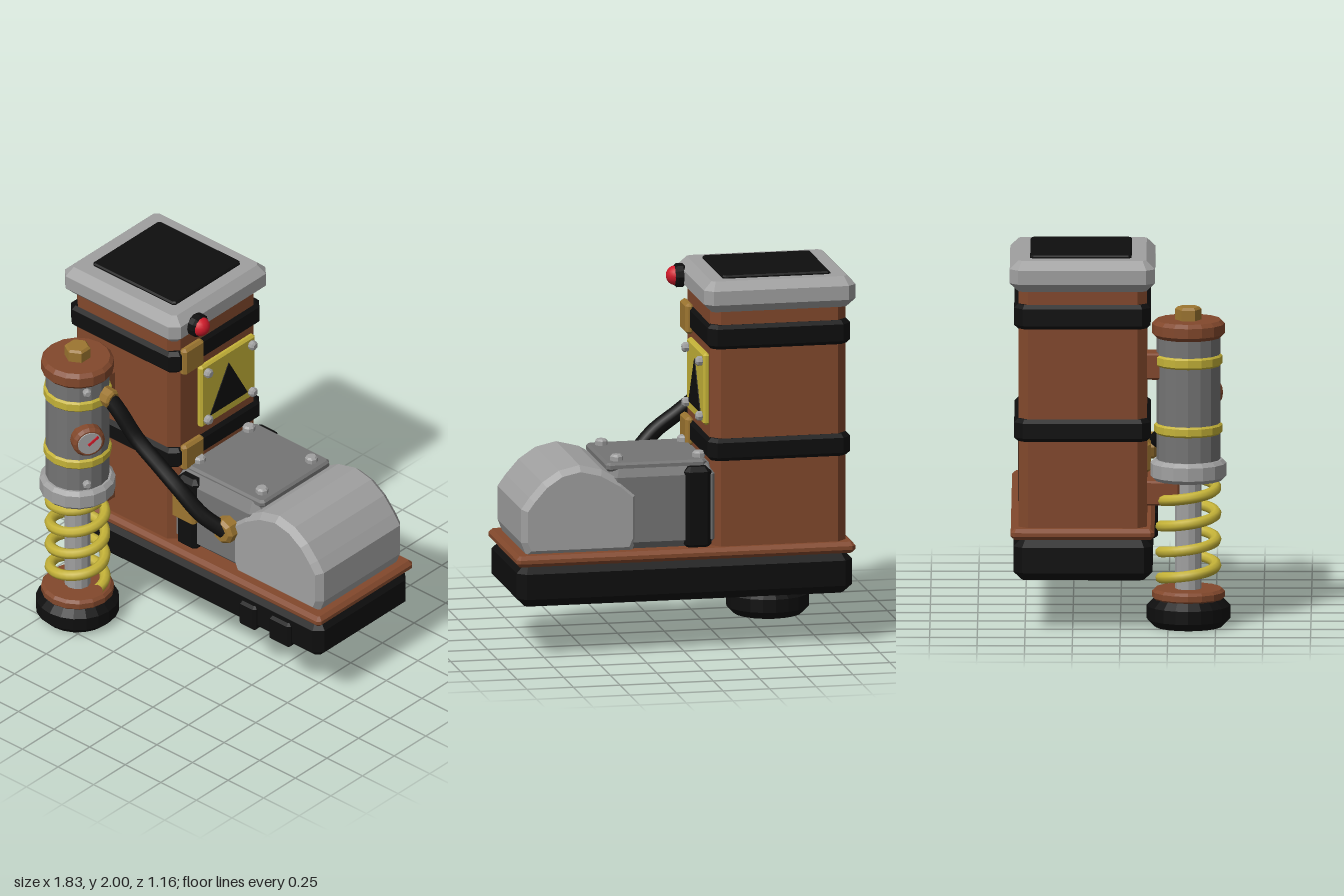
import * as THREE from 'three';

const mat = (name, color) => Object.assign(new THREE.MeshStandardMaterial({ color }), { name });

export function createModel() {
  const root = new THREE.Group();
  root.name = 'poweredBoot';
  const copper = mat('copper', 0x82482c), black = mat('black rubber', 0x0e0e0e);
  const light = mat('light steel', 0xa0a0a0), steel = mat('dark steel', 0x747474);
  const yellow = mat('yellow', 0xc4b238), brass = mat('brass', 0x9c7530), red = mat('red', 0xd01a2a);

  const add = (name, geo, material, parent = root) => {
    const m = new THREE.Mesh(geo, material);
    m.name = name;
    parent.add(m);
    return m;
  };
  // faceted normals
  const flat = (g) => {
    const f = g.index ? g.toNonIndexed() : g;
    f.computeVertexNormals();
    return f;
  };
  // box with cut vertical corners (cut) and chamfered top and bottom rims (bevel)
  const block = (name, material, [x0, x1], [y0, y1], [z0, z1], bevel = 0.02, cut = bevel) => {
    const s = new THREE.Shape([
      [x0 + cut, -z1], [x1 - cut, -z1], [x1, -z1 + cut], [x1, -z0 - cut],
      [x1 - cut, -z0], [x0 + cut, -z0], [x0, -z0 - cut], [x0, -z1 + cut],
    ].map(([x, y]) => new THREE.Vector2(x, y)));
    const g = new THREE.ExtrudeGeometry(s, {
      depth: y1 - y0 - 2 * bevel, bevelEnabled: bevel > 0, bevelSegments: 1,
      bevelSize: bevel, bevelThickness: bevel, bevelOffset: -bevel,
    });
    g.rotateX(-Math.PI / 2).translate(0, y0 + bevel, 0);
    return add(name, flat(g), material);
  };
  // chamfered disc standing on y0
  const disc = (r, y0, y1, c = 0.015, sides = 16) => flat(new THREE.LatheGeometry([
    [0, y0], [r - c, y0], [r, y0 + c], [r, y1 - c], [r - c, y1], [0, y1],
  ].map(([x, y]) => new THREE.Vector2(x, y)), sides));
  // disc whose axis points along dir, with its base at pos
  const stud = (name, material, pos, dir, r, h, c = 0.01, sides = 8, parent = root) => {
    const m = add(name, disc(r, 0, h, c, sides), material, parent);
    m.position.set(...pos);
    m.quaternion.setFromUnitVectors(new THREE.Vector3(0, 1, 0), new THREE.Vector3(...dir).normalize());
    return m;
  };
  const X = [1, 0, 0], Y = [0, 1, 0], Z = [0, 0, 1];

  // sole, side lugs and welt
  block('sole', black, [-0.9, 0.9], [0.28, 0.505], [-0.56, 0.17], 0.045);
  block('soleLug', black, [0.35, 0.47], [0.29, 0.44], [0.1, 0.193], 0.015);
  block('soleLug', black, [0.56, 0.71], [0.29, 0.44], [0.1, 0.193], 0.015);
  block('welt', copper, [-0.91, 0.91], [0.5, 0.56], [-0.575, 0.18], 0.02);

  // shaft with its straps and buckles
  block('shaft', copper, [-0.87, -0.143], [0.55, 1.84], [-0.535, 0.14], 0, 0.05);
  for (const [y0, y1] of [[1.62, 1.75], [1.02, 1.14]]) {
    block('shaftStrap', black, [-0.89, -0.125], [y0, y1], [-0.557, 0.16], 0.02, 0.045);
    block('shaftBuckle', brass, [-0.15, -0.103], [y0 - 0.02, y1 + 0.015], [-0.06, 0.1], 0.015);
  }

  // top collar and dark opening
  block('collar', light, [-0.915, -0.1], [1.82, 1.985], [-0.58, 0.182], 0.045);
  block('opening', black, [-0.795, -0.215], [1.97, 2.0], [-0.473, 0.06], 0.008, 0.015);

  // beacon
  stud('beaconBase', black, [-0.115, 1.905, 0.022], X, 0.065, 0.06, 0.015, 12);
  add('beaconLamp', new THREE.SphereGeometry(0.053, 16, 12), red).position.set(-0.067, 1.905, 0.022);

  // warning plate
  block('warningPlate', yellow, [-0.15, -0.112], [1.2, 1.585], [-0.47, -0.04], 0.012);
  const tri = new THREE.Shape([[0.105, 1.255], [0.4, 1.255], [0.2525, 1.515]].map((p) => new THREE.Vector2(...p)));
  const triGeo = new THREE.ExtrudeGeometry(tri, { depth: 0.006, bevelEnabled: false });
  add('warningTriangle', triGeo.rotateY(Math.PI / 2).translate(-0.113, 0, 0), black);
  for (const y of [1.245, 1.54]) for (const z of [-0.08, -0.43])
    stud('plateBolt', light, [-0.12, y, z], X, 0.026, 0.042);

  // instep housing, lid and bolts
  block('instepHousing', steel, [-0.2, 0.41], [0.55, 1.0], [-0.52, 0.115], 0.05);
  block('instepLid', steel, [-0.13, 0.41], [0.975, 1.02], [-0.48, 0.065], 0.012, 0.02);
  for (const x of [-0.1, 0.34]) for (const z of [-0.4, -0.01])
    stud('lidBolt', light, [x, 1.01, z], Y, 0.034, 0.042);
  block('instepStrap', black, [-0.145, 0], [0.55, 0.99], [-0.54, 0.135], 0.025);
  block('instepBuckle', brass, [-0.153, 0.008], [0.73, 0.89], [0.1, 0.158], 0.015);

  // rounded toe cap
  const cap = new THREE.Shape([
    [0.28, 0.55], [0.845, 0.55], [0.873, 0.62], [0.873, 0.8], [0.83, 0.86], [0.76, 0.94], [0.67, 1.0],
    [0.56, 1.025], [0.44, 0.995], [0.33, 0.93], [0.25, 0.86], [0.25, 0.62],
  ].map((p) => new THREE.Vector2(...p)));
  const capGeo = new THREE.ExtrudeGeometry(cap, {
    depth: 0.6, bevelSegments: 1, bevelSize: 0.03, bevelThickness: 0.035, bevelOffset: -0.03,
  });
  add('toeCap', flat(capGeo.translate(0, 0, -0.5)), light);

  // spring strut
  const strut = new THREE.Group();
  strut.name = 'springStrut';
  strut.position.set(-0.63, 0, 0.357);
  root.add(strut);
  const ring = (name, material, r, y0, y1, c, sides) => add(name, disc(r, y0, y1, c, sides), material, strut);
  ring('strutFoot', black, 0.22, 0, 0.15, 0.04, 20);
  ring('lowerSeat', copper, 0.192, 0.14, 0.2, 0.015);
  ring('strutRod', light, 0.07, 0.19, 0.8, 0.01, 12);
  ring('lowerCollar', light, 0.2, 0.78, 0.89, 0.02);
  ring('strutCylinder', steel, 0.168, 0.87, 1.56, 0.01);
  ring('lowerBand', yellow, 0.18, 1.027, 1.083, 0.01);
  ring('upperBand', yellow, 0.18, 1.39, 1.45, 0.01);
  ring('strutCap', copper, 0.192, 1.54, 1.632, 0.02);
  ring('capNut', brass, 0.07, 1.62, 1.7, 0.012, 6);
  const coil = [];
  for (let i = 0; i <= 64; i++) {
    const a = (i / 64) * Math.PI * 8;
    coil.push(new THREE.Vector3(0.145 * Math.cos(a), 0.22 + 0.55 * i / 64, -0.145 * Math.sin(a)));
  }
  add('spring', new THREE.TubeGeometry(new THREE.CatmullRomCurve3(coil), 128, 0.029, 8), yellow, strut);

  // pressure gauge and rivets, facing outward at an angle
  const dir = [0.85, 0, 0.52];
  for (const y of [0.93, 1.51])
    stud('cylinderRivet', light, [0.13, y, 0.08], dir, 0.023, 0.04, 0.008, 8, strut);
  const gauge = new THREE.Group();
  gauge.name = 'gauge';
  gauge.position.set(0.12, 1.22, 0.073);
  gauge.rotation.y = Math.atan2(dir[0], dir[2]);
  strut.add(gauge);
  stud('gaugeRim', copper, [0, 0, 0], Z, 0.088, 0.08, 0.015, 16, gauge);
  stud('gaugeFace', light, [0, 0, 0.076], Z, 0.066, 0.008, 0.002, 16, gauge);
  const needle = add('gaugeNeedle', new THREE.BoxGeometry(0.07, 0.013, 0.006), red, gauge);
  needle.position.set(0.018, 0.014, 0.087);
  needle.rotation.z = 0.68;

  // brackets holding the strut to the boot
  block('upperBracket', copper, [-0.7, -0.56], [1.32, 1.46], [0.12, 0.24], 0.01);
  block('lowerBracket', copper, [-0.7, -0.56], [0.65, 0.78], [0.12, 0.31], 0.01);

  // hose with a fitting at each end
  stud('upperFitting', brass, [-0.5, 1.445, 0.325], [1, -0.1, 0], 0.052, 0.095, 0.012, 8);
  stud('lowerFitting', brass, [0.225, 0.81, 0.09], Z, 0.072, 0.1, 0.018, 8);
  const path = new THREE.CatmullRomCurve3([
    [-0.44, 1.44, 0.325], [-0.38, 1.37, 0.31], [-0.28, 1.23, 0.285], [-0.14, 1.12, 0.27],
    [0, 1.02, 0.26], [0.12, 0.9, 0.225], [0.23, 0.81, 0.16],
  ].map((p) => new THREE.Vector3(...p)));
  add('hose', new THREE.TubeGeometry(path, 28, 0.043, 10), black);

  return root;
}
